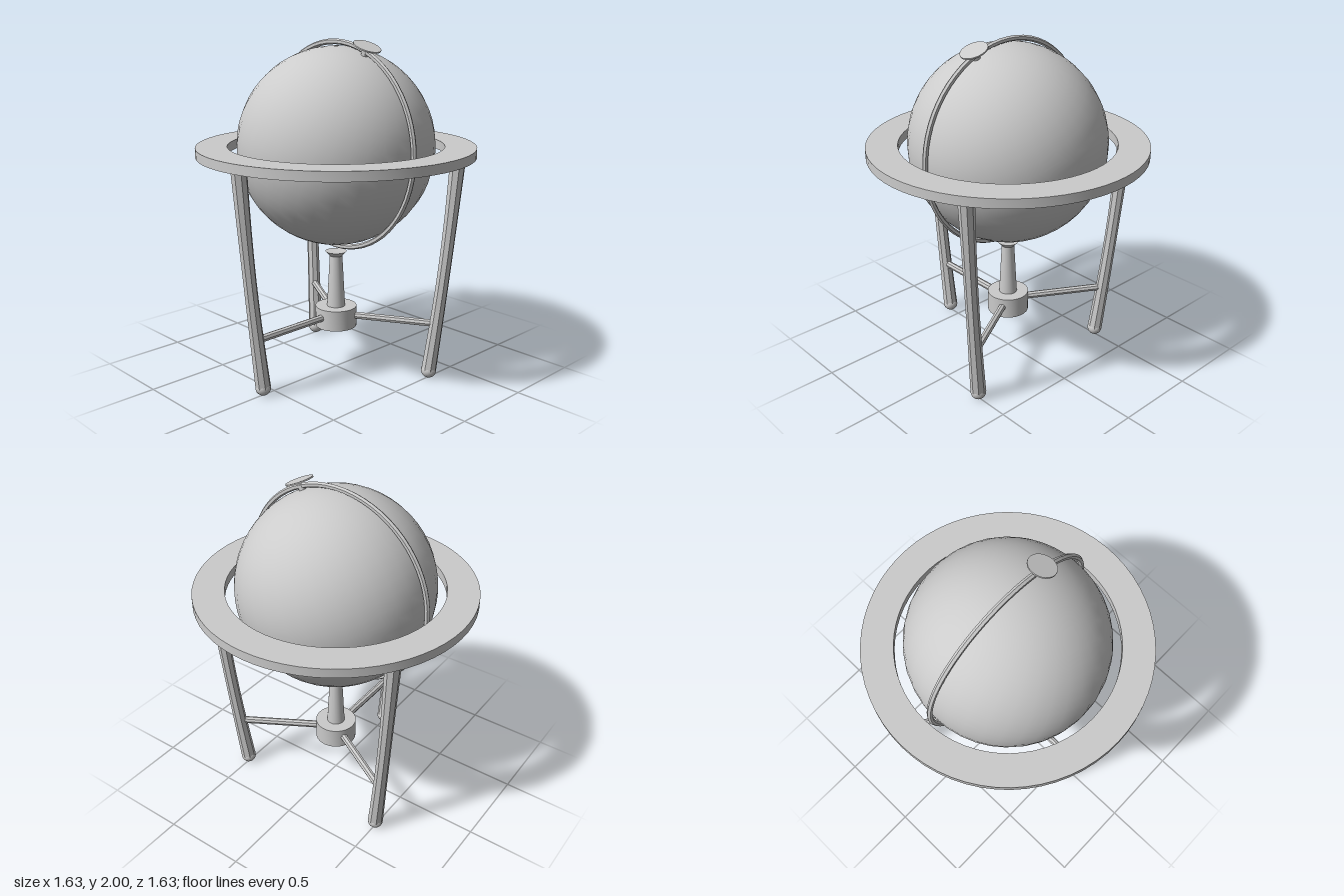
import * as THREE from 'three';
import { toCreasedNormals } from 'three/addons/utils/BufferGeometryUtils.js';

const GLOBE_Y = 1.385, TILT = THREE.MathUtils.degToRad(23);
const smooth = new THREE.MeshStandardMaterial({ color: 0xcccccc });
const faceted = new THREE.MeshStandardMaterial({ color: 0xcccccc, flatShading: true });

function add(parent, name, geometry, material = smooth) {
  const mesh = new THREE.Mesh(geometry, material);
  mesh.name = name;
  parent.add(mesh);
  return mesh;
}

// Turned part with sharp profile corners
function turned(points, segments) {
  const profile = points.map(([r, y]) => new THREE.Vector2(r, y));
  return toCreasedNormals(new THREE.LatheGeometry(profile, segments), 0.5);
}

// Eight-sided leg that leans outwards, slimmest in the middle
function legGeometry() {
  const bottom = 0.05, top = 1.36;
  const geo = new THREE.CylinderGeometry(1, 1, 1, 8, 10);
  geo.rotateY(Math.PI / 8);
  const pos = geo.attributes.position;
  for (let i = 0; i < pos.count; i++) {
    const t = pos.getY(i) + 0.5;
    const bulge = Math.sin(t * Math.PI);
    const radius = 0.046 - 0.008 * bulge;
    const reach = 0.58 + 0.135 * t + 0.01 * bulge;
    pos.setXYZ(i, pos.getX(i) * radius, bottom + (top - bottom) * t, pos.getZ(i) * radius + reach);
  }
  return geo;
}

export function createModel() {
  const model = new THREE.Group();
  model.name = 'globeOnStand';

  // Globe and its tilted axis fittings
  const axis = new THREE.Group();
  axis.name = 'tiltedGlobe';
  axis.position.y = GLOBE_Y;
  axis.rotation.z = -TILT;
  model.add(axis);
  add(axis, 'globe', new THREE.SphereGeometry(0.577, 36, 28));
  for (const side of [1, -1]) {
    add(axis, side > 0 ? 'topPin' : 'bottomPin',
      toCreasedNormals(new THREE.CylinderGeometry(0.02, 0.02, 0.04, 12), 0.7)).position.y = side * 0.585;
  }
  add(axis, 'capStem', toCreasedNormals(new THREE.CylinderGeometry(0.014, 0.014, 0.04, 12), 0.7)).position.y = 0.61;
  add(axis, 'hourDisc', toCreasedNormals(new THREE.CylinderGeometry(0.08, 0.08, 0.008, 28), 0.7)).position.y = 0.628;

  // Upright meridian ring
  add(model, 'meridianRing', new THREE.TorusGeometry(0.599, 0.016, 6, 64), faceted).position.y = GLOBE_Y;

  // Flat horizon ring
  add(model, 'horizonRing', turned(
    [[0.63, 1.34], [0.813, 1.34], [0.813, 1.395], [0.63, 1.395], [0.63, 1.34]], 64));

  // Central hub, tapering post and flared cup
  add(model, 'hub', turned([[0, 0.28], [0.125, 0.28], [0.125, 0.405], [0, 0.405]], 32));
  add(model, 'post', turned(
    [[0.055, 0.4], [0.038, 0.72], [0.064, 0.748], [0, 0.74]], 24));

  // Three legs, each with a ball foot and a stretcher to the hub
  const leg = legGeometry();
  const foot = new THREE.SphereGeometry(0.046, 16, 12);
  const rod = new THREE.CylinderGeometry(0.022, 0.022, 0.52, 8);
  rod.rotateX(Math.PI / 2);
  for (let i = 0; i < 3; i++) {
    const support = new THREE.Group();
    support.name = ['frontSupport', 'leftSupport', 'rightSupport'][i];
    support.rotation.y = i * Math.PI * 2 / 3;
    add(support, 'leg', leg, faceted);
    add(support, 'foot', foot).position.set(0, 0.05, 0.58);
    add(support, 'stretcher', rod, faceted).position.set(0, 0.35, 0.35);
    model.add(support);
  }
  return model;
}
